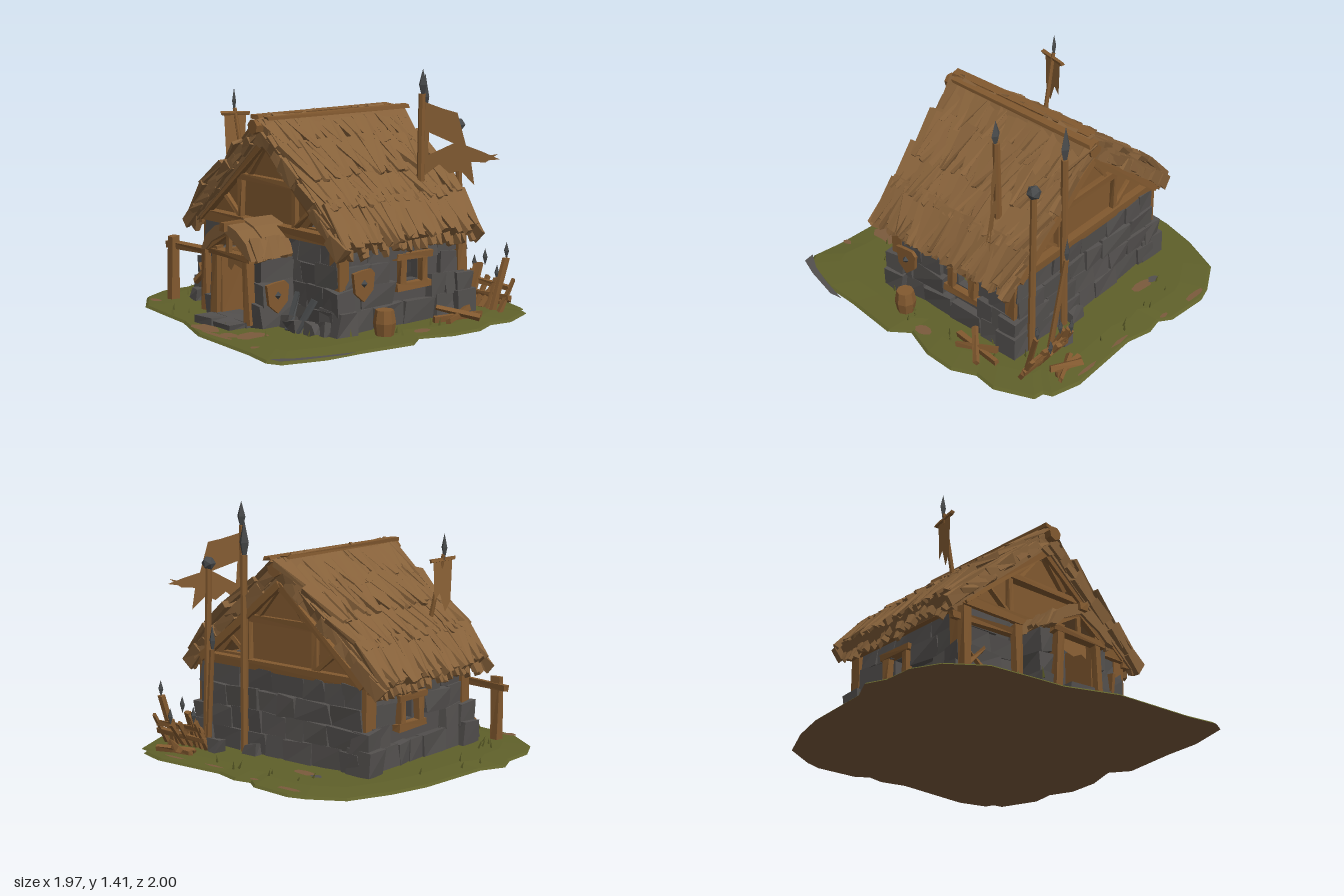
import * as THREE from 'three';
import { mergeGeometries } from 'three/addons/utils/BufferGeometryUtils.js';

let seed = 7;
const rnd = (a = 0, b = 1) => {
  seed = (seed * 16807) % 2147483647;
  return a + (b - a) * (seed / 2147483647);
};
const V = (p) => new THREE.Vector3(...p);
const V2 = (p) => new THREE.Vector2(...p);

function material(name, color, side = THREE.FrontSide) {
  const m = new THREE.MeshStandardMaterial({ color, side });
  m.name = name;
  return m;
}

// faceted normals
function facet(g) {
  const f = g.index ? g.toNonIndexed() : g;
  f.computeVertexNormals();
  return f;
}

// box with jittered corners, optionally tapered at +y
function rock(w, h, d, j = 0.01, taper = 1) {
  const g = new THREE.BoxGeometry(w, h, d), p = g.attributes.position;
  const off = Array.from({ length: 24 }, () => rnd(-j, j));
  for (let i = 0; i < p.count; i++) {
    const x = p.getX(i), y = p.getY(i), z = p.getZ(i);
    const k = 3 * ((x > 0) + 2 * (y > 0) + 4 * (z > 0)), t = y > 0 ? taper : 1;
    p.setXYZ(i, x * t + off[k], y + off[k + 1], z + off[k + 2]);
  }
  return facet(g);
}

// turn a geometry whose length runs along y so that it joins a to b
function between(g, a, b) {
  const dir = V(b).sub(V(a)).normalize();
  g.applyQuaternion(new THREE.Quaternion().setFromUnitVectors(new THREE.Vector3(0, 1, 0), dir));
  return g.translate((a[0] + b[0]) / 2, (a[1] + b[1]) / 2, (a[2] + b[2]) / 2);
}
const beam = (a, b, w, d = w, j = 0.006) => between(rock(w, V(a).distanceTo(V(b)), d, j), a, b);
const pole = (a, b, r) => between(facet(new THREE.CylinderGeometry(r * 0.85, r, V(a).distanceTo(V(b)), 7)), a, b);
const block = (x, y, z, w, h, d, j = 0.012) => rock(w, h, d, j).translate(x, y, z);
const polygon = (pts) => new THREE.Shape(pts.map(V2));
const flat = (pts) => facet(new THREE.ShapeGeometry(polygon(pts)));
const extrude = (shape, depth) => facet(new THREE.ExtrudeGeometry(shape, { depth, bevelEnabled: false }));
const tip = (x, y, z, w, h) => facet(new THREE.OctahedronGeometry(1)).scale(w, h / 2, w * 0.7).translate(x, y, z);

// one slope of thatch: a thick slab, overlapping rows of tapered tufts and ragged verges
function thatchSlope(s, cx, cy, run, drop, z0, z1, rows, tuft, thick) {
  const len = Math.hypot(run, drop), out = [];
  const down = new THREE.Vector3(s * run / len, -drop / len, 0);
  const up = new THREE.Vector3(s * drop / len, run / len, 0);
  const place = (g, t, lift, z) => {
    const m = new THREE.Matrix4().makeBasis(new THREE.Vector3().crossVectors(down, up), down, up);
    m.setPosition(cx + s * run * t + up.x * lift, cy - drop * t + up.y * lift, z);
    out.push(g.applyMatrix4(m));
  };
  place(rock(z1 - z0, len, thick, 0.006), 0.5, 0, (z0 + z1) / 2);
  for (let r = 0; r < rows; r++) {
    const t = (r + 0.5) / rows, eave = r === rows - 1;
    for (let z = z0 + 0.02; z < z1; z += tuft * 0.18) {
      const g = rock(tuft * 0.36, tuft * rnd(0.85, 1.1), 0.025, 0.01, 0.25);
      g.rotateX(eave ? -0.14 : 0.07).rotateZ(rnd(-0.2, 0.2));
      place(g, t, thick / 2 + 0.005 + 0.025 * Math.sin(Math.PI * t), z + rnd(-0.01, 0.01));
      // drooping straw under the eave
      if (eave) place(rock(tuft * 0.28, tuft * 0.5, 0.035, 0.01, 0.25).rotateX(-0.5), 0.97, rnd(-0.4, 0.2) * thick, z);
    }
  }
  for (const z of [z0, z1]) for (let t = 0.08; t < 1; t += 0.1) {
    place(rock(rnd(0.03, 0.05), rnd(0.11, 0.16), thick * rnd(0.5, 0.9), 0.012, 0.8), t, rnd(-0.01, 0.01), z);
  }
  return out;
}

// courses of loose stones along one face of the house
function stoneCourses(u0, u1, alongX, face, blocked) {
  const out = [];
  for (let r = 0; r < 4; r++) {
    const y = 0.085 + r * 0.122;
    for (let u = u0; u < u1 - 0.03;) {
      const w = Math.min(rnd(0.1, 0.26), u1 - u), c = u + w / 2;
      u += w;
      if (blocked && c + w / 2 > blocked[0] && c - w / 2 < blocked[1] && r > 0 && r < 3) continue;
      const d = 0.055 + (3 - r) * 0.012 + rnd(0, 0.02);
      out.push(alongX ? block(c, y, face, w, 0.125, d) : block(face, y, c, d, 0.125, w));
    }
  }
  return out;
}

// low mound: rings of the outline shrinking towards the middle
function mound(outline, rings) {
  const pos = [], n = outline.length;
  const at = (i, [k, y]) => [outline[i % n][0] * k, y, outline[i % n][1] * k];
  for (let r = 0; r < rings.length - 1; r++) for (let i = 0; i < n; i++) {
    const a = at(i, rings[r]), b = at(i + 1, rings[r]), c = at(i + 1, rings[r + 1]), d = at(i, rings[r + 1]);
    pos.push(...a, ...c, ...b, ...a, ...d, ...c);
  }
  const g = new THREE.BufferGeometry();
  g.setAttribute('position', new THREE.Float32BufferAttribute(pos, 3));
  g.computeVertexNormals();
  return g;
}

export function createModel() {
  seed = 7;
  const root = new THREE.Group();
  root.name = 'thatchedHut';
  const wood = material('wood', 0x82592f), thatch = material('thatch', 0x86613a);
  const stone = material('stone', 0x53504e), iron = material('iron', 0x484a4b);
  const grass = material('grass', 0x5f602a, THREE.DoubleSide), dirt = material('dirt', 0x7b5a3c);
  const cloth = material('cloth', 0x8c6236, THREE.DoubleSide);
  const add = (name, mat, geos) => {
    const list = [].concat(geos);
    const mesh = new THREE.Mesh(list.length > 1 ? mergeGeometries(list) : list[0], mat);
    mesh.name = name;
    root.add(mesh);
  };

  // ground island
  const outline = [[-0.99, 0.18], [-0.92, 0.04], [-0.88, -0.4], [-0.82, -0.62], [-0.71, -0.86], [-0.52, -0.97], [-0.42, -1], [-0.17, -0.98],
    [-0.1, -0.93], [0, -0.95], [0.15, -0.91], [0.6, -0.93], [0.77, -0.88], [0.79, -0.83], [0.85, -0.82], [0.94, -0.6], [0.92, -0.46], [0.98, -0.32],
    [0.97, -0.13], [0.9, 0.06], [0.98, 0.17], [0.94, 0.5], [0.93, 0.72], [0.86, 0.96], [0.78, 1], [0.6, 0.97], [0.1, 0.94], [-0.2, 0.83],
    [-0.4, 0.81], [-0.66, 0.78], [-0.86, 0.64], [-0.94, 0.48], [-0.94, 0.3]];
  add('ground', grass, mound(outline, [[1, 0], [0.985, 0.012], [0.85, 0.026], [0, 0.03]]));
  add('groundUnderside', dirt, new THREE.ShapeGeometry(polygon(outline)).rotateX(Math.PI / 2));
  const patch = (x, z, a, b) => {
    const pts = Array.from({ length: 9 }, (_, i) => {
      const k = rnd(0.75, 1.15), t = i * Math.PI * 2 / 9;
      return [k * a * Math.cos(t), k * b * Math.sin(t)];
    });
    return flat(pts).rotateX(-Math.PI / 2).translate(x, 0.031, z);
  };
  add('dirtPatches', dirt, [[0.37, 0.78, 0.07, 0.1], [0.29, 0.87, 0.07, 0.04], [0.07, 0.87, 0.12, 0.05], [0.24, 0.92, 0.14, 0.02],
    [0.58, 0.92, 0.02, 0.03], [-0.27, -0.68, 0.08, 0.035], [0.86, 0, 0.04, 0.06], [-0.4, -0.96, 0.08, 0.02], [-0.14, -0.94, 0.03, 0.015],
    [0.2, -0.89, 0.08, 0.012], [0.5, -0.9, 0.08, 0.012], [-0.68, 0.7, 0.05, 0.03]].map((p) => patch(...p)));
  add('flatStones', stone, [patch(-0.36, -0.69, 0.04, 0.025),
    flat([[0.97, -0.56], [0.98, -0.64], [0.92, -0.86], [0.87, -0.98], [0.8, -0.99], [0.87, -0.88], [0.92, -0.74]]).rotateX(-Math.PI / 2).translate(0, 0.026, 0)]);
  const blades = [];
  for (let i = 0; i < 40; i++) {
    const a = rnd(0, 6.28), k = rnd(0.78, 0.88), h = rnd(0.03, 0.06);
    blades.push(facet(new THREE.ConeGeometry(0.009, h, 3)).rotateZ(rnd(-0.5, 0.5)).translate(k * Math.cos(a), 0.02 + h / 2, k * Math.sin(a)));
  }
  add('grassTufts', grass, blades);

  // hollow stone walls with a window through each side
  const endWall = polygon([[-0.52, 0.02], [0.64, 0.02], [0.62, 0.51], [-0.5, 0.51]]);
  const sideWall = polygon([[-0.41, 0.02], [0.48, 0.02], [0.48, 0.51], [-0.41, 0.51]]);
  sideWall.holes.push(new THREE.Path([[0.06, 0.26], [0.17, 0.26], [0.17, 0.38], [0.06, 0.38]].map(V2)));
  add('walls', stone, [
    extrude(endWall, 0.05).translate(0, 0, 0.36), extrude(endWall, 0.05).translate(0, 0, -0.5),
    extrude(sideWall, 0.05).rotateY(Math.PI / 2).translate(0.58, 0, 0), extrude(sideWall, 0.05).rotateY(Math.PI / 2).translate(-0.52, 0, 0)]);
  add('wallStones', stone, [
    ...stoneCourses(-0.54, 0.65, true, 0.4), ...stoneCourses(-0.54, 0.65, true, -0.49),
    ...stoneCourses(-0.48, 0.4, false, 0.625, [-0.23, 0]), ...stoneCourses(-0.48, 0.4, false, -0.52, [-0.23, 0])]);
  const corners = [[-0.53, 0.39], [0.63, 0.39], [-0.53, -0.48], [0.63, -0.48]];
  add('cornerStones', stone, corners.flatMap(([x, z]) => [
    block(x, 0.09, z, 0.16, 0.14, 0.14), block(x, 0.2, z, 0.12, 0.14, 0.12)]));
  add('cornerPosts', wood, corners.map(([x, z]) => beam([x, 0.24, z], [x, 0.52, z], 0.075)));
  add('windowFrames', wood, [0.65, -0.55].flatMap((x) => [
    beam([x, 0.4, 0.01], [x, 0.4, -0.24], 0.05, 0.04), beam([x, 0.235, 0.01], [x, 0.235, -0.24], 0.05, 0.04),
    beam([x, 0.24, -0.035], [x, 0.4, -0.035], 0.04), beam([x, 0.24, -0.195], [x, 0.4, -0.195], 0.04)]));

  // gables and timber framing, front and back
  const gable = polygon([[-0.54, 0.52], [0.64, 0.52], [0.64, 0.56], [0.05, 1.06], [-0.54, 0.56]]);
  gable.holes.push(new THREE.Path([[0.36, 0.57], [0.51, 0.57], [0.44, 0.65]].map(V2)));
  const frame = [];
  for (const z of [0.42, -0.5]) {
    const out = z + Math.sign(z) * 0.02;
    frame.push(beam([-0.62, 0.53, z], [0.71, 0.53, z], 0.055), beam([-0.27, 0.79, z], [0.36, 0.79, z], 0.04),
      beam([-0.2, 0.53, z], [-0.2, 0.79, z], 0.03), beam([0.29, 0.53, z], [0.29, 0.79, z], 0.03),
      beam([-0.2, 0.55, z], [-0.36, 0.68, z], 0.025), beam([0.3, 0.56, z], [0.42, 0.67, z], 0.02),
      beam([-0.12, 0.81, z], [0.02, 0.98, z], 0.025), beam([0.21, 0.81, z], [0.07, 0.98, z], 0.025));
    for (const s of [-1, 1]) frame.push(beam([0.045 + s * 0.6, 0.52, out], [0.045, 1.01, out], 0.04));
  }
  for (const x of [-0.58, 0.67]) frame.push(beam([x, 0.5, 0.45], [x, 0.5, -0.52], 0.05));
  add('gables', wood, [extrude(gable, 0.03).translate(0, 0, 0.36), extrude(gable, 0.03).translate(0, 0, -0.48)]);
  add('timberFrame', wood, frame);

  // main roof
  add('roofThatch', thatch, [-1, 1].flatMap((s) => thatchSlope(s, 0.045, 1.085, 0.685, 0.575, -0.52, 0.47, 4, 0.29, 0.095)));
  add('ridgeThatch', thatch, pole([0.05, 1.065, -0.52], [0.05, 1.065, 0.48], 0.1));
  add('ridgeLog', wood, [pole([0.05, 1.1, -0.56], [0.05, 1.1, 0.53], 0.05),
    beam([0.02, 1.155, -0.5], [0.03, 1.155, 0.5], 0.06, 0.02), beam([0.09, 1.15, -0.57], [0.08, 1.145, 0.46], 0.05, 0.02)]);

  // porch with an arched thatch roof and an open doorway
  const arch = polygon([[-0.18, 0.42], [-0.13, 0.51], [-0.04, 0.575], [0.05, 0.6], [0.15, 0.57], [0.24, 0.51], [0.29, 0.42],
    [0.24, 0.43], [0.18, 0.48], [0.05, 0.545], [-0.08, 0.48], [-0.13, 0.43]]);
  const fringe = [];
  for (let z = 0.46; z < 0.71; z += 0.05) for (const s of [-1, 1]) {
    fringe.push(beam([0.055 + s * 0.17, 0.51, z], [0.055 + s * rnd(0.225, 0.24), rnd(0.4, 0.43), z], 0.03, 0.055, 0.012));
  }
  add('porchRoof', thatch, [extrude(arch, 0.2).translate(0, 0, 0.4), extrude(arch, 0.12).translate(0, -0.012, 0.6), ...fringe]);
  add('porchStones', stone, [-0.15, 0.25].flatMap((x) => [0, 1, 2].map((i) =>
    block(x, 0.09 + i * 0.125, 0.54, 0.13 - i * 0.02, 0.13, 0.25 - i * 0.02, 0.015))));
  add('doorBack', stone, block(0.05, 0.21, 0.44, 0.28, 0.4, 0.03, 0));
  add('doorStep', stone, [block(-0.04, 0.04, 0.75, 0.16, 0.05, 0.12, 0.008), block(0.12, 0.036, 0.74, 0.15, 0.05, 0.12, 0.008), block(0.05, 0.04, 0.62, 0.32, 0.04, 0.16, 0.008)]);
  add('doorFrame', wood, [beam([-0.1, 0.04, 0.67], [-0.08, 0.44, 0.67], 0.045), beam([0.21, 0.04, 0.67], [0.19, 0.44, 0.67], 0.045),
    block(-0.075, 0.23, 0.56, 0.025, 0.38, 0.2, 0.004), block(0.185, 0.23, 0.56, 0.025, 0.38, 0.2, 0.004),
    beam([-0.13, 0.41, 0.68], [0.24, 0.41, 0.68], 0.04), beam([-0.14, 0.42, 0.69], [0.05, 0.54, 0.69], 0.035), beam([0.24, 0.42, 0.69], [0.05, 0.54, 0.69], 0.035),
    beam([0.05, 0.41, 0.69], [0.05, 0.55, 0.69], 0.025), beam([0.05, 0.57, 0.42], [0.05, 0.57, 0.74], 0.04)]);
  add('doorCurtain', cloth, flat([[-0.08, 0.42], [0.19, 0.42], [0.18, 0.33], [0.14, 0.35], [0.08, 0.32], [0, 0.34], [-0.03, 0.3], [-0.08, 0.33]]).translate(0, 0, 0.62));

  // tall spears and mace
  add('spearShafts', wood, [pole([0.29, 0.02, -0.55], [0.29, 1.15, -0.54], 0.024), pole([0.53, 0.5, -0.28], [0.54, 1.27, -0.28], 0.024),
    pole([0.58, 0.02, -0.56], [0.55, 1.06, -0.55], 0.022), pole([-0.43, 0.72, 0.22], [-0.52, 1.14, 0.23], 0.014),
    pole([0.5, 0.03, -0.63], [0.42, 0.62, -0.67], 0.018)]);
  add('spearHeads', iron, [tip(0.285, 1.22, -0.54, 0.035, 0.27), tip(0.545, 1.32, -0.28, 0.032, 0.18),
    tip(-0.525, 1.18, 0.23, 0.02, 0.16), tip(0.415, 0.67, -0.67, 0.022, 0.18),
    facet(new THREE.IcosahedronGeometry(0.042)).translate(0.55, 1.08, -0.55)]);

  // torn flag swept back from its pole, and a hanging banner
  const flag = polygon([[0, 1.23], [0.12, 1.19], [0.2, 1.17], [0.25, 0.99], [0.34, 0.96], [0.44, 0.92], [0.43, 0.95], [0.36, 0.9], [0.28, 0.9], [0.3, 0.77], [0.22, 0.85], [0.16, 0.83], [0.1, 0.88], [0, 0.8]]);
  flag.holes.push(new THREE.Path([[0.03, 1.06], [0.18, 1], [0.12, 0.97], [0.04, 0.93]].map(V2)));
  add('flag', cloth, facet(new THREE.ShapeGeometry(flag)).rotateY(0.6).translate(0.54, 0, -0.28));
  add('banner', cloth, flat([[-0.07, 1.1], [0.07, 1.12], [0.06, 0.88], [0.02, 0.92], [-0.02, 0.81], [-0.06, 0.87]]).rotateY(1.35).translate(-0.515, 0, 0.23));
  add('bannerBar', wood, beam([-0.53, 1.11, 0.32], [-0.5, 1.11, 0.14], 0.018));

  // hitching rail, crossed sticks and leaning weapons at the front
  add('hitchingRail', wood, [beam([-0.66, 0.02, 0.58], [-0.66, 0.4, 0.58], 0.05), beam([-0.31, 0.02, 0.59], [-0.31, 0.39, 0.59], 0.045),
    beam([-0.74, 0.34, 0.56], [-0.29, 0.36, 0.57], 0.04), beam([-0.57, 0.13, 0.49], [-0.43, 0.27, 0.46], 0.022), beam([-0.45, 0.13, 0.49], [-0.55, 0.24, 0.46], 0.02)]);
  add('looseStones', stone, [[-0.55, 0.48], [-0.38, 0.47], [-0.24, 0.49], [0.36, 0.52], [0.45, 0.55], [0.56, 0.52], [0.6, 0.46], [0.41, -0.66], [0.22, -0.57]]
    .map(([x, z]) => block(x, 0.06, z, 0.08, 0.07, 0.06, 0.02)));
  add('leaningWeapons', iron, [beam([0.4, 0.03, 0.56], [0.36, 0.22, 0.46], 0.03, 0.015), beam([0.47, 0.03, 0.56], [0.5, 0.2, 0.46], 0.04, 0.015)]);

  // shields and barrel on the right
  const shield = polygon([[-0.075, 0.07], [-0.02, 0.08], [0.05, 0.085], [0.075, 0.06], [0.065, -0.03], [0, -0.09], [-0.06, -0.04]]);
  const shieldAt = [[0.685, 0.29, 0.28], [0.335, 0.21, 0.59]];
  add('shields', wood, shieldAt.map((p) => extrude(shield, 0.02).rotateY(Math.PI / 2).translate(...p)));
  add('shieldBosses', iron, shieldAt.map(([x, y, z]) => facet(new THREE.OctahedronGeometry(0.022)).translate(x + 0.02, y + 0.01, z)));
  add('barrel', wood, facet(new THREE.LatheGeometry([[0, 0], [0.05, 0], [0.062, 0.07], [0.05, 0.14], [0, 0.14]].map(V2), 8)).translate(0.79, 0.024, 0.21));

  // stake fence and lumber at the back right
  const stakes = [], points = [];
  for (let i = 0; i < 8; i++) {
    const x = 0.47 + i * 0.045, h = rnd(0.17, 0.26) + (i === 6 ? 0.08 : 0), z = -0.74 - rnd(0, 0.03);
    stakes.push(beam([x, 0.02, -0.66], [x + rnd(-0.02, 0.03), h, z], 0.024));
    if (i % 2 === 0) points.push(tip(x + 0.01, h + 0.04, z - 0.005, 0.02, 0.1));
  }
  stakes.push(beam([0.45, 0.09, -0.7], [0.82, 0.1, -0.71], 0.028), beam([0.45, 0.16, -0.73], [0.8, 0.15, -0.73], 0.024));
  add('stakeFence', wood, stakes);
  add('stakePoints', iron, points);
  add('lumber', wood, [beam([0.48, 0.04, -0.76], [0.68, 0.05, -0.86], 0.03), beam([0.5, 0.06, -0.86], [0.66, 0.06, -0.77], 0.03), beam([0.46, 0.04, -0.81], [0.66, 0.04, -0.81], 0.03),
    beam([0.76, 0.04, -0.18], [0.8, 0.04, -0.5], 0.035), beam([0.83, 0.04, -0.22], [0.74, 0.07, -0.46], 0.03), beam([0.7, 0.09, -0.25], [0.88, 0.04, -0.42], 0.025)]);
  return root;
}
